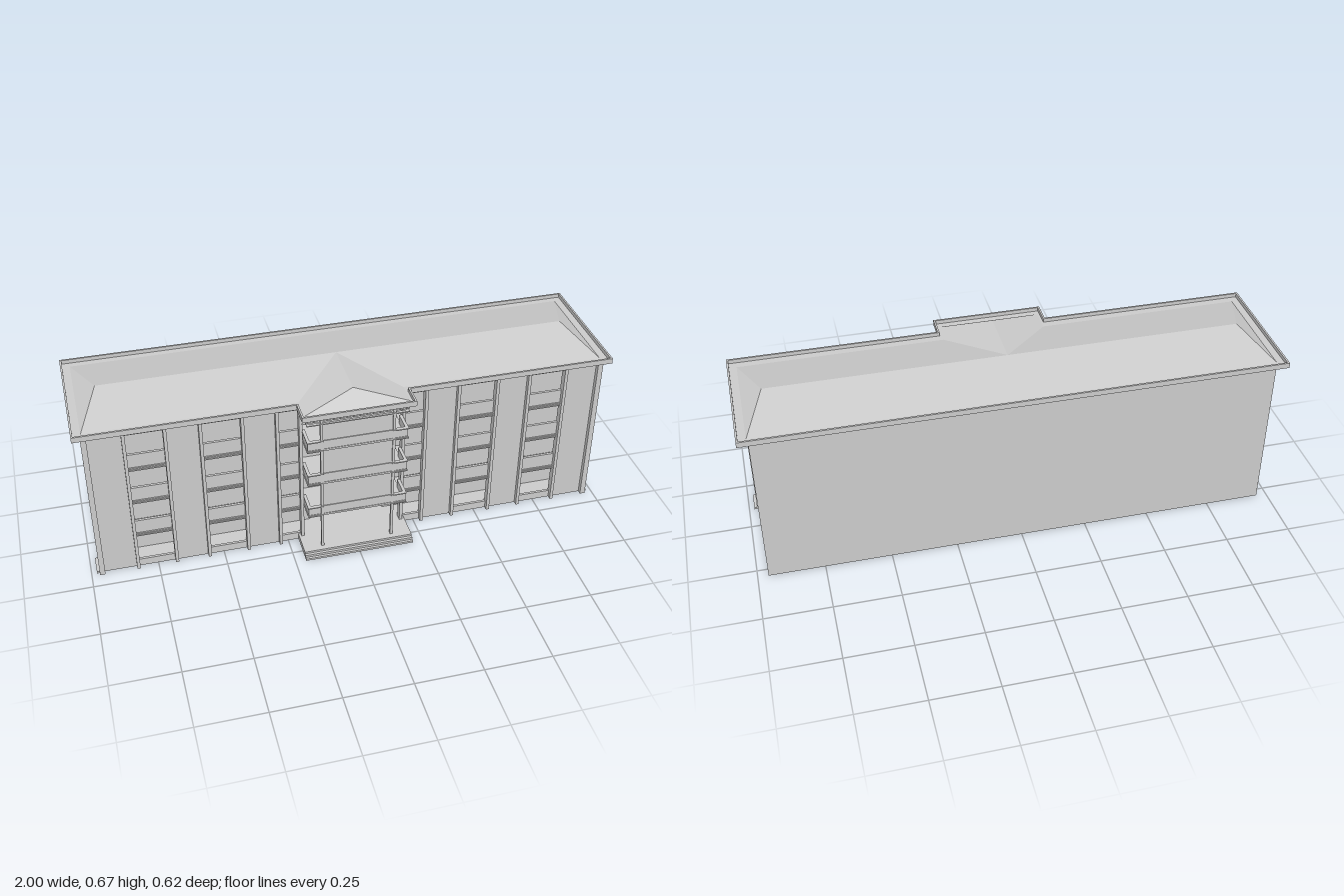
import * as THREE from 'three';
import { ConvexGeometry } from 'three/addons/geometries/ConvexGeometry.js';

const material = new THREE.MeshStandardMaterial({ color: 0xcccccc, flatShading: true, side: THREE.DoubleSide });

export function createModel() {
  const model = new THREE.Group();
  model.name = 'building';

  function group(name) {
    const g = new THREE.Group();
    g.name = name;
    model.add(g);
    return g;
  }
  function add(parent, name, geometry) {
    const mesh = new THREE.Mesh(geometry, material);
    mesh.name = name;
    parent.add(mesh);
    return mesh;
  }
  // Box given by its extents along each axis
  function box(parent, name, x0, x1, y0, y1, z0, z1) {
    const mesh = add(parent, name, new THREE.BoxGeometry(x1 - x0, y1 - y0, z1 - z0));
    mesh.position.set((x0 + x1) / 2, (y0 + y1) / 2, (z0 + z1) / 2);
    return mesh;
  }
  // Same box on both sides of the building
  function pair(parent, name, x0, x1, y0, y1, z0, z1) {
    box(parent, name + 'Left', x0, x1, y0, y1, z0, z1);
    box(parent, name + 'Right', -x1, -x0, y0, y1, z0, z1);
  }
  const points = (list) => list.map((p) => new THREE.Vector3(...p));

  const W = 0.96, top = 0.622, floors = [0.163, 0.315, 0.463];

  // Main block: thin walls, open underneath
  const body = group('mainBlock');
  box(body, 'backWall', -W, W, 0, top, -0.285, -0.28);
  pair(body, 'endWall', W - 0.005, W, 0, top, -0.285, 0.1);
  pair(body, 'frontWall', 0.145, W, 0, top, 0.095, 0.1);
  box(body, 'wallOverEntrance', -0.145, 0.145, 0.163, top, 0.095, 0.1);

  // Entrance hall
  const hall = group('entranceHall');
  box(hall, 'hallFloor', -0.145, 0.145, 0, 0.025, -0.275, 0.1);
  pair(hall, 'hallWall', 0.143, 0.147, 0, top, -0.28, 0.095);
  box(hall, 'hallCeiling', -0.145, 0.145, 0.158, 0.163, -0.275, 0.095);

  // Open galleries along the front
  const gallery = group('gallery');
  box(gallery, 'galleryBase', -W, W, 0, 0.025, 0.1, 0.175);
  pair(gallery, 'baseStepLower', W, 0.98, 0, 0.008, 0.1, 0.18);
  pair(gallery, 'baseStepUpper', W, 0.97, 0.008, 0.017, 0.1, 0.175);
  for (const y of floors) {
    box(gallery, 'galleryFloor', -W, W, y - 0.008, y, 0.1, 0.172);
    pair(gallery, 'endParapet', W - 0.008, W, y, y + 0.052, 0.1, 0.172);
  }

  // Wall panels between the bays, framed by vertical fins
  const facade = group('facade');
  const bays = [[0.68, 0.825], [0.405, 0.555], [0.195, 0.28]];
  const panels = [[0.825, W], [0.555, 0.68], [0.28, 0.405]];
  for (const [a, b] of panels) pair(facade, 'wallPanel', a, b, 0, top, 0.165, 0.175);
  for (const x of [W, 0.825, 0.68, 0.555, 0.405, 0.28, 0.195]) {
    const h = x === W ? 0.01 : 0.006;
    pair(facade, 'fin', x - h, x + h, 0, 0.617, 0.165, 0.192);
  }
  for (const [a, b] of bays) {
    pair(facade, 'groundSill', a, b, 0, 0.03, 0.165, 0.175);
    for (const y of floors) pair(facade, 'bayParapet', a, b, y - 0.003, y + 0.052, 0.165, 0.175);
    // Paired rails over every opening
    for (const y of [...floors, 0.622]) {
      pair(facade, 'lowerRail', a, b, y - 0.019, y - 0.014, 0.165, 0.178);
      pair(facade, 'upperRail', a, b, y - 0.011, y - 0.006, 0.165, 0.178);
    }
  }
  for (const y of [...floors, 0.622]) {
    pair(facade, 'endLowerRail', W - 0.008, W, y - 0.019, y - 0.014, 0.1, 0.165);
    pair(facade, 'endUpperRail', W - 0.008, W, y - 0.011, y - 0.006, 0.1, 0.165);
  }

  // Central porch with corner openings
  const porch = group('porch');
  [[0.008, 0.308], [0.017, 0.298], [0.025, 0.287]].forEach(([y, z], i) =>
    box(porch, 'porchStep' + (i + 1), -0.21, 0.21, i ? y - 0.009 : 0, y, 0.165, z));
  pair(porch, 'porchColumn', 0.13, 0.14, 0.025, top, 0.255, 0.266);
  box(porch, 'porchFrontPanel', -0.13, 0.13, 0.215, 0.603, 0.254, 0.261);
  for (const [y0, y1] of [[0.173, 0.216], [0.321, 0.367], [0.471, 0.515]]) {
    box(porch, 'porchFloor', -0.185, 0.185, y0, y0 + 0.008, 0.1, 0.266);
    box(porch, 'porchFrontParapet', -0.187, 0.187, y0, y1, 0.256, 0.264);
    pair(porch, 'porchSideParapet', 0.179, 0.187, y0, y1, 0.18, 0.264);
    for (const y of [y0, y1 - 0.003]) {
      pair(porch, 'parapetTrimFront', 0.13, 0.19, y, y + 0.004, 0.255, 0.269);
      pair(porch, 'parapetTrimSide', 0.178, 0.19, y, y + 0.004, 0.18, 0.269);
    }
  }
  for (const [y0, y1] of [[0.588, 0.592], [0.603, 0.608]]) {
    box(porch, 'topRailFront', -0.19, 0.19, y0, y1, 0.258, 0.269);
    pair(porch, 'topRailSide', 0.18, 0.19, y0, y1, 0.18, 0.269);
  }

  // Roof: soffit, raised fascia and hipped surfaces
  const roof = group('roof');
  const outline = (i) => [
    [-1 + i, 0.307 - i], [-1 + i, -0.203 + i], [-0.21 + i, -0.203 + i], [-0.21 + i, -0.287 + i],
    [0.21 - i, -0.287 + i], [0.21 - i, -0.203 + i], [1 - i, -0.203 + i], [1 - i, 0.307 - i],
  ].map(([x, y]) => new THREE.Vector2(x, y));
  function plate(name, hole, y, height) {
    const shape = new THREE.Shape(outline(0));
    if (hole) shape.holes.push(new THREE.Path(outline(hole)));
    const geometry = new THREE.ExtrudeGeometry(shape, { depth: height, bevelEnabled: false });
    add(roof, name, geometry.rotateX(-Math.PI / 2).translate(0, y, 0));
  }
  plate('soffit', 0, top, 0.006);
  plate('fascia', 0.007, 0.628, 0.015);
  const eave = 0.628, ridge = 0.673;
  add(roof, 'mainHipRoof', new ConvexGeometry(points([
    [-0.965, eave, -0.275], [0.965, eave, -0.275], [-0.965, eave, 0.167], [0.965, eave, 0.167],
    [-0.89, ridge, -0.055], [0.89, ridge, -0.055],
  ])));
  add(roof, 'porchHipRoof', new ConvexGeometry(points([
    [-0.195, eave, 0.257], [0.195, eave, 0.257], [-0.195, eave, -0.055], [0.195, eave, -0.055],
    [0, ridge, 0.187], [0, ridge, -0.055],
  ])));

  return model;
}
